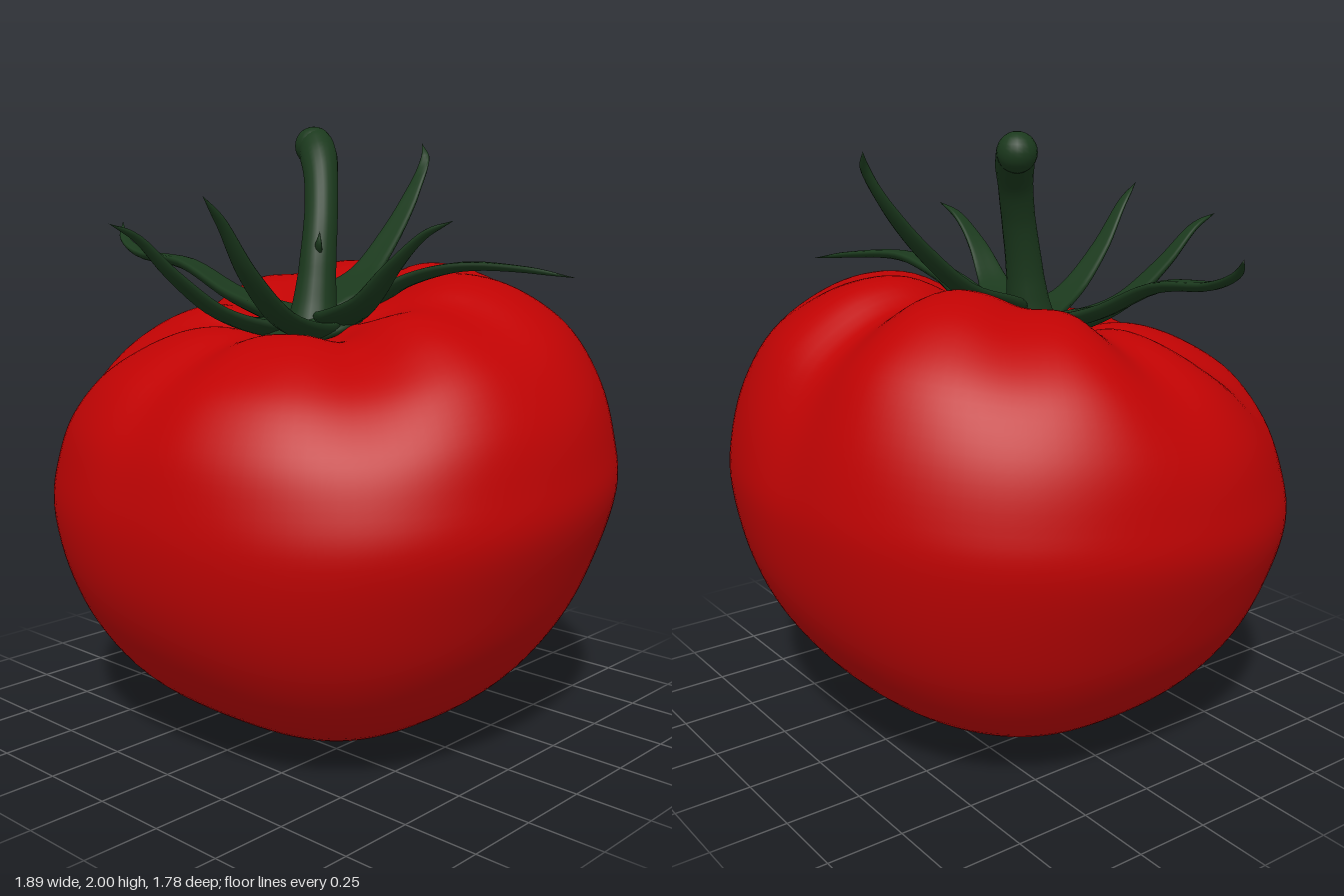
import * as THREE from 'three';
import { mergeVertices } from 'three/addons/utils/BufferGeometryUtils.js';

const V = (p) => new THREE.Vector3(...p);

// Closed skin over rows x cols rings; pointAt(u, angle) returns [x, y, z]
function skin(rows, cols, pointAt) {
  const pos = [], index = [];
  for (let i = 0; i <= rows; i++)
    for (let j = 0; j < cols; j++) pos.push(...pointAt(i / rows, (j / cols) * Math.PI * 2));
  for (let i = 0; i < rows; i++)
    for (let j = 0; j < cols; j++) {
      const k = (j + 1) % cols;
      const a = i * cols + j, b = i * cols + k, c = a + cols, d = b + cols;
      index.push(a, b, d, a, d, c);
    }
  let g = new THREE.BufferGeometry();
  g.setAttribute('position', new THREE.Float32BufferAttribute(pos, 3));
  g.setIndex(index);
  g = mergeVertices(g, 1e-5);
  g.computeVertexNormals();
  return g;
}

// Linear lookup in an evenly spaced list
function sample(list, u) {
  const f = u * (list.length - 1), i = Math.min(Math.floor(f), list.length - 2);
  return list[i] + (list[i + 1] - list[i]) * (f - i);
}

// Oval section swept along a path; fold lifts the two edges
function loft(points, widths, heights, ref, fold = 0, rows = 28, cols = 14) {
  const curve = new THREE.CatmullRomCurve3(points.map(V));
  return skin(rows, cols, (u, a) => {
    const t = curve.getTangent(u);
    const side = t.clone().cross(ref).normalize();
    const n = t.clone().cross(side);
    const c = Math.cos(a), w = sample(widths, u), h = sample(heights, u);
    return curve.getPoint(u)
      .addScaledVector(side, c * w)
      .addScaledVector(n, Math.sin(a) * h - fold * w * c * c)
      .toArray();
  });
}

// Fruit rings: front z, front y, back z, back y, half width
const RINGS = [
  [0.1, 0.005, 0.1, 0.005, 0],
  [0.27, 0.022, -0.07, 0.016, 0.23],
  [0.46, 0.1, -0.33, 0.09, 0.45],
  [0.64, 0.228, -0.56, 0.222, 0.625],
  [0.775, 0.395, -0.735, 0.42, 0.772],
  [0.86, 0.575, -0.84, 0.63, 0.868],
  [0.893, 0.76, -0.89, 0.86, 0.94],
  [0.88, 0.92, -0.888, 1.02, 0.93],
  [0.84, 1.06, -0.845, 1.2, 0.89],
  [0.75, 1.19, -0.76, 1.365, 0.8],
  [0.62, 1.28, -0.63, 1.475, 0.68],
  [0.49, 1.335, -0.48, 1.54, 0.54],
  [0.38, 1.35, -0.31, 1.545, 0.4],
  [0.27, 1.335, -0.12, 1.455, 0.23],
  [0.12, 1.33, 0.12, 1.33, 0],
];

// Grooves between lobes: angle from the front, depth, width, level where they begin
const GROOVES = [
  [-0.06, 0.04, 0.16, 0.35], [0.85, 0.06, 0.24, 0.45], [1.6, 0.03, 0.22, 0.5],
  [2.5, 0.022, 0.25, 0.5], [3.22, 0.085, 0.2, 0.33], [-2.2, 0.03, 0.22, 0.5],
  [-1.5, 0.055, 0.2, 0.5], [-0.85, 0.058, 0.22, 0.45],
];

function fruitGeometry() {
  const front = new THREE.CatmullRomCurve3(RINGS.map((r) => V([r[4], r[1], r[0]])), false, 'catmullrom', 0.5);
  const back = new THREE.CatmullRomCurve3(RINGS.map((r) => V([0, r[3], r[2]])), false, 'catmullrom', 0.5);
  return skin(70, 128, (u, a) => {
    const f = front.getPoint(u), b = back.getPoint(u);
    const s = Math.sin(a), c = Math.cos(a);
    // Lower rings are slightly squarer than the shoulder
    const full = 1 + 0.15 * (1 - u) ** 3.2 * Math.sin(2 * a) ** 2;
    const x = f.x * s * full;
    const z = (f.z + b.z) / 2 + ((f.z - b.z) / 2) * c * full;
    const y = (f.y + b.y) / 2 + ((f.y - b.y) / 2) * c * (1.3 - 0.3 * c * c);
    // Grooves are deepest on the shoulder and fade towards the pole
    const poleFade = 1 - THREE.MathUtils.smoothstep(u, 0.9, 1);
    let dent = 0;
    for (const [angle, depth, width, start] of GROOVES) {
      const d = Math.atan2(Math.sin(a - angle), Math.cos(a - angle));
      dent += depth * Math.exp(-((d / width) ** 2)) * THREE.MathUtils.smoothstep(u, start, 0.78);
    }
    const k = 1 - dent * poleFade;
    return [x * k, 0.7 + (y - 0.7) * k, z * k];
  });
}

// Sepal centre lines, from the calyx to the tip
const SEPALS = {
  sepalRight: [[0.02, 1.36, 0.12], [-0.14, 1.385, 0.13], [-0.3, 1.44, 0.17], [-0.5, 1.54, 0.21], [-0.7, 1.57, 0.24], [-0.82, 1.62, 0.22], [-0.89, 1.68, 0.17]],
  sepalFrontRight: [[0.0, 1.35, 0.12], [-0.06, 1.35, 0.25], [-0.11, 1.41, 0.42], [-0.135, 1.53, 0.58], [-0.145, 1.65, 0.71], [-0.15, 1.69, 0.8]],
  sepalFrontLeft: [[0.05, 1.35, 0.12], [0.12, 1.35, 0.25], [0.165, 1.41, 0.42], [0.195, 1.55, 0.58], [0.21, 1.7, 0.69], [0.22, 1.77, 0.76]],
  sepalLeft: [[0.05, 1.36, 0.1], [0.18, 1.39, 0.13], [0.31, 1.45, 0.17], [0.43, 1.56, 0.19], [0.54, 1.66, 0.18], [0.63, 1.7, 0.165]],
  sepalBackLeft: [[0.03, 1.38, 0.08], [0.13, 1.42, -0.02], [0.26, 1.5, -0.07], [0.44, 1.55, -0.12], [0.6, 1.545, -0.22], [0.75, 1.52, -0.3]],
  sepalBack: [[0.04, 1.38, 0.12], [0.02, 1.44, -0.02], [-0.01, 1.5, -0.17], [-0.03, 1.63, -0.33], [-0.045, 1.77, -0.46], [-0.06, 1.9, -0.55], [-0.1, 1.96, -0.58]],
};

export function createModel() {
  const model = new THREE.Group();
  const red = new THREE.MeshStandardMaterial({ color: 0xc00303 });
  red.name = 'ripeRed';
  const green = new THREE.MeshStandardMaterial({ color: 0x1b391d });
  green.name = 'stemGreen';
  const add = (name, geometry, material) => {
    const mesh = new THREE.Mesh(geometry, material);
    mesh.name = name;
    model.add(mesh);
    return mesh;
  };

  add('fruit', fruitGeometry(), red);

  // Leafy crown
  const up = new THREE.Vector3(0, 1, 0);
  const widths = [0, 0.1, 0.08, 0.058, 0.047, 0.036, 0.024, 0.013, 0];
  const heights = [0, 0.03, 0.025, 0.02, 0.018, 0.015, 0.012, 0.009, 0];
  for (const [name, path] of Object.entries(SEPALS))
    add(name, loft(path, widths, heights, up, 0.25), green);

  // Hub joining the sepals, tilted with the shoulder of the fruit
  const hub = add('calyxHub', new THREE.SphereGeometry(1, 32, 16), green);
  hub.scale.set(0.17, 0.04, 0.2);
  hub.position.set(0.03, 1.37, 0.11);
  hub.rotation.x = 0.28;

  // Bent stalk with a swollen, rounded end
  const radii = [0.09, 0.073, 0.063, 0.058, 0.055, 0.056, 0.062, 0.06, 0.056];
  add('stalk', loft(
    [[0.03, 1.34, 0.13], [0.025, 1.45, 0.11], [0.015, 1.58, 0.085], [-0.01, 1.72, 0.045], [-0.06, 1.85, -0.005], [-0.12, 1.925, -0.05], [-0.155, 1.95, -0.07]],
    radii, radii, new THREE.Vector3(0, 0, 1), 0, 36, 20), green);
  const knob = add('stalkEnd', new THREE.SphereGeometry(0.064, 20, 14), green);
  knob.position.set(-0.143, 1.936, -0.06);

  // Small dried curl on the stalk
  add('stalkCurl', loft([[0.03, 1.58, 0.1], [0.06, 1.62, 0.13], [0.065, 1.66, 0.13]],
    [0.02, 0.014, 0], [0.012, 0.008, 0], new THREE.Vector3(0, 0, 1), 0, 8, 8), green);

  return model;
}
